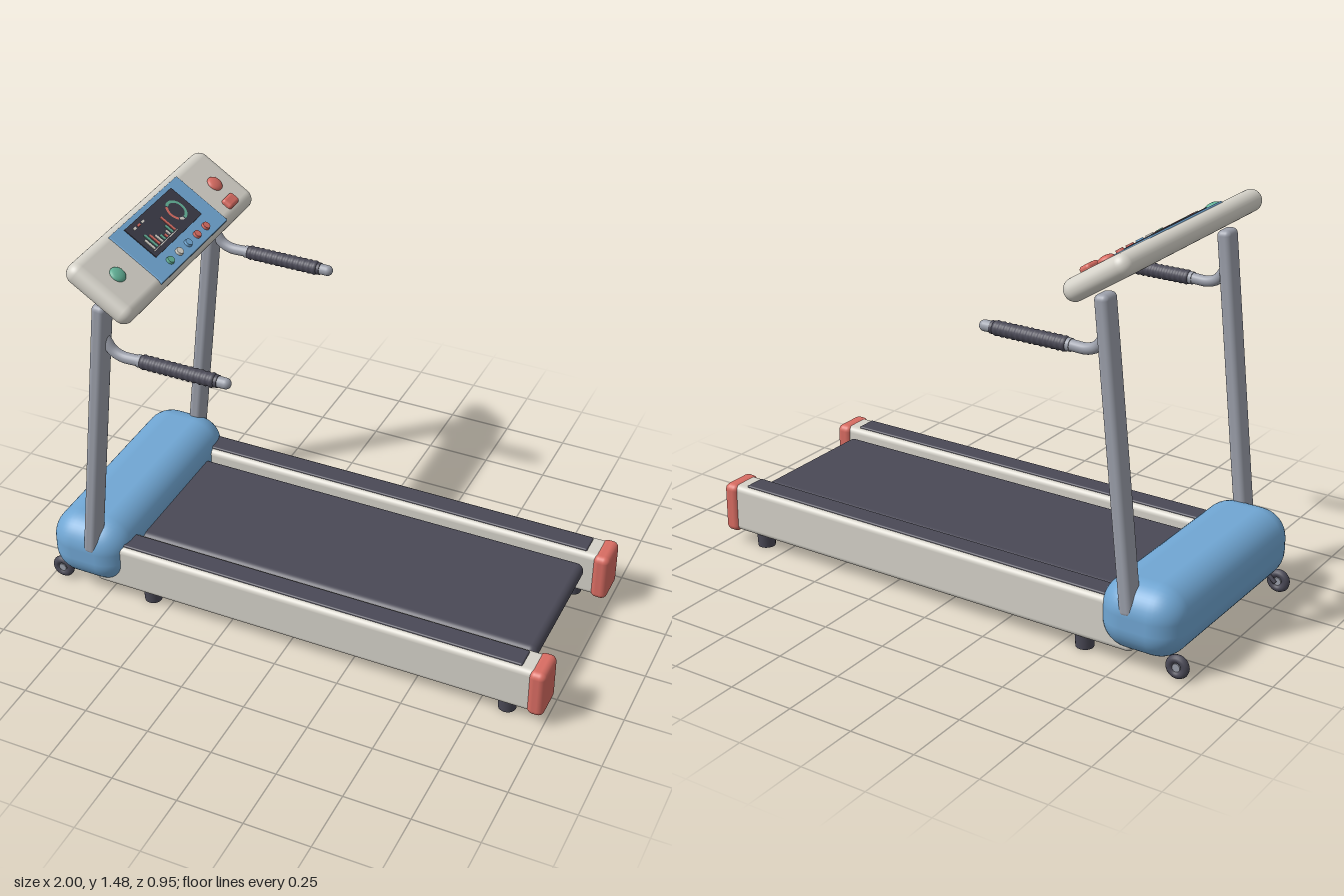
import * as THREE from 'three';
import { RoundedBoxGeometry } from 'three/addons/geometries/RoundedBoxGeometry.js';

const paint = (name, color) => {
  const m = new THREE.MeshStandardMaterial({ color });
  m.name = name;
  return m;
};

export function createModel() {
  const blue = paint('blue', 0x70a6d3);
  const cream = paint('cream', 0xd5d2c9);
  const dark = paint('charcoal', 0x4a4956);
  const screenDark = paint('screenDark', 0x3b3b47);
  const metal = paint('metal', 0x9b9faa);
  const coral = paint('coral', 0xd86c62);
  const teal = paint('teal', 0x62b096);

  const model = new THREE.Group();
  model.name = 'treadmill';

  const add = (parent, name, geometry, material, x = 0, y = 0, z = 0) => {
    const mesh = new THREE.Mesh(geometry, material);
    mesh.name = name;
    mesh.position.set(x, y, z);
    parent.add(mesh);
    return mesh;
  };
  const rounded = (w, h, d, r) => new RoundedBoxGeometry(w, h, d, 5, r);

  // Motor hood
  add(model, 'motorHood', rounded(0.32, 0.265, 0.908, 0.11), blue, -0.82, 0.19, 0);

  // Running belt with a rounded rear end, and the tray below it
  add(model, 'runningBelt', rounded(1.68, 0.06, 0.545, 0.029), dark, 0.075, 0.185, 0);
  add(model, 'underTray', rounded(1.6, 0.095, 0.552, 0.01), dark, 0.06, 0.103, 0);

  // Ribbed grip profile, turned around the handle axis
  const ribs = 13;
  const gripLength = 0.285;
  const gripProfile = [new THREE.Vector2(0.018, 0)];
  for (let i = 0; i <= ribs * 4; i++) {
    const wave = Math.cos((i / 4) * Math.PI * 2);
    gripProfile.push(new THREE.Vector2(0.0255 - 0.0018 * wave, (i / (ribs * 4)) * gripLength));
  }
  gripProfile.push(new THREE.Vector2(0.018, gripLength));
  const gripGeometry = new THREE.LatheGeometry(gripProfile, 24).rotateZ(-Math.PI / 2);

  for (const side of [1, -1]) {
    const label = side > 0 ? 'left' : 'right';
    const half = new THREE.Group();
    half.name = label + 'Side';
    model.add(half);

    // Side rail, foot strip and end cap
    add(half, 'sideRail', rounded(1.76, 0.184, 0.122, 0.022), cream, 0.085, 0.147, side * 0.349);
    add(half, 'footStrip', rounded(1.6, 0.016, 0.082, 0.006), dark, 0.105, 0.238, side * 0.349);
    add(half, 'endCap', rounded(0.064, 0.193, 0.14, 0.024), coral, 0.968, 0.145, side * 0.349);

    // Feet
    for (const x of [-0.58, 0.85]) {
      add(half, 'foot', new THREE.CylinderGeometry(0.036, 0.033, 0.07, 24), dark, x, 0.035, side * 0.355);
    }

    // Transport wheel: tyre, hub and a short arm into the hood
    add(half, 'wheelTyre', new THREE.TorusGeometry(0.029, 0.0155, 12, 32), dark, -0.957, 0.046, side * 0.378);
    add(half, 'wheelHub', new THREE.CylinderGeometry(0.015, 0.015, 0.024, 20).rotateX(Math.PI / 2),
      metal, -0.957, 0.046, side * 0.378);
    const arm = add(half, 'wheelArm', rounded(0.08, 0.014, 0.014, 0.005), dark, -0.925, 0.07, side * 0.358);
    arm.rotation.z = 0.75;

    // Leaning upright
    const post = add(half, 'upright', rounded(0.054, 1.12, 0.08, 0.02), metal, -0.73, 0.768, side * 0.415);
    post.rotation.z = -0.11;

    // Handlebar: bent tube, rounded tip, grip and collars
    const z = side * 0.412;
    const path = new THREE.CatmullRomCurve3([
      [-0.69, 1.205], [-0.668, 1.172], [-0.642, 1.136], [-0.605, 1.12], [-0.54, 1.12], [-0.4, 1.12], [-0.205, 1.12],
    ].map(([x, y]) => new THREE.Vector3(x, y, z)));
    add(half, 'handlebar', new THREE.TubeGeometry(path, 48, 0.02, 20), metal);
    add(half, 'handlebarTip', new THREE.SphereGeometry(0.02, 20, 12), metal, -0.205, 1.12, z);
    add(half, 'handGrip', gripGeometry, dark, -0.53, 1.12, z);
    for (const x of [-0.537, -0.24]) {
      add(half, 'gripCollar', new THREE.CylinderGeometry(0.023, 0.023, 0.014, 20).rotateZ(Math.PI / 2),
        x < -0.5 ? metal : dark, x, 1.12, z);
    }
  }

  // Console: local x runs down the slope to the user, local y is its normal
  const console_ = new THREE.Group();
  console_.name = 'console';
  console_.position.set(-0.657, 1.378, 0);
  console_.rotation.z = -0.576;
  model.add(console_);
  add(console_, 'consoleBody', rounded(0.282, 0.08, 0.955, 0.0395), cream);
  add(console_, 'consolePanel', rounded(0.243, 0.018, 0.49, 0.004), blue, 0.006, 0.035, 0);
  add(console_, 'screen', new THREE.BoxGeometry(0.145, 0.006, 0.338), screenDark, -0.024, 0.0445, 0);

  // Bar chart, marks and ring gauge on the screen
  const plate = (name, w, d, material, x, z) =>
    add(console_, name, new THREE.BoxGeometry(w, 0.003, d), material, x, 0.0485, z);
  const bars = [0.045, 0.06, 0.048, 0.034, 0.022, 0.014, 0.02, 0.035, 0.068];
  const barColours = [cream, teal, coral];
  bars.forEach((h, i) => plate('chartBar', h, 0.01, barColours[i % 3], 0.024 - h / 2, 0.142 - i * 0.0185));
  plate('chartBaseline', 0.003, 0.17, cream, 0.029, 0.068);
  [cream, coral, cream].forEach((m, i) => plate('screenMark', 0.008, 0.016, m, -0.075, 0.13 - i * 0.028));
  const arcs = [[0, 0.58, teal], [0.6, 0.28, coral], [0.9, 0.08, cream]];
  for (const [start, span, material] of arcs) {
    const arc = new THREE.RingGeometry(0.033, 0.044, 32, 1, start * Math.PI * 2, span * Math.PI * 2);
    add(console_, 'ringGauge', arc.rotateX(-Math.PI / 2), material, -0.024, 0.049, -0.092);
  }

  // Row of small buttons under the screen
  [teal, cream, blue, coral, coral].forEach((m, i) =>
    add(console_, 'smallButton', new THREE.CylinderGeometry(0.014, 0.016, 0.012, 24), m, 0.09, 0.048, 0.133 - i * 0.0665));

  // Start, stop and safety buttons
  const dome = new THREE.SphereGeometry(1, 28, 14).scale(0.031, 0.014, 0.031);
  add(console_, 'startButton', dome, teal, 0.0, 0.041, 0.358);
  add(console_, 'stopButton', dome, coral, 0.0, 0.041, -0.357);
  add(console_, 'safetyKey', rounded(0.045, 0.03, 0.07, 0.012), coral, 0.086, 0.042, -0.334);

  return model;
}
